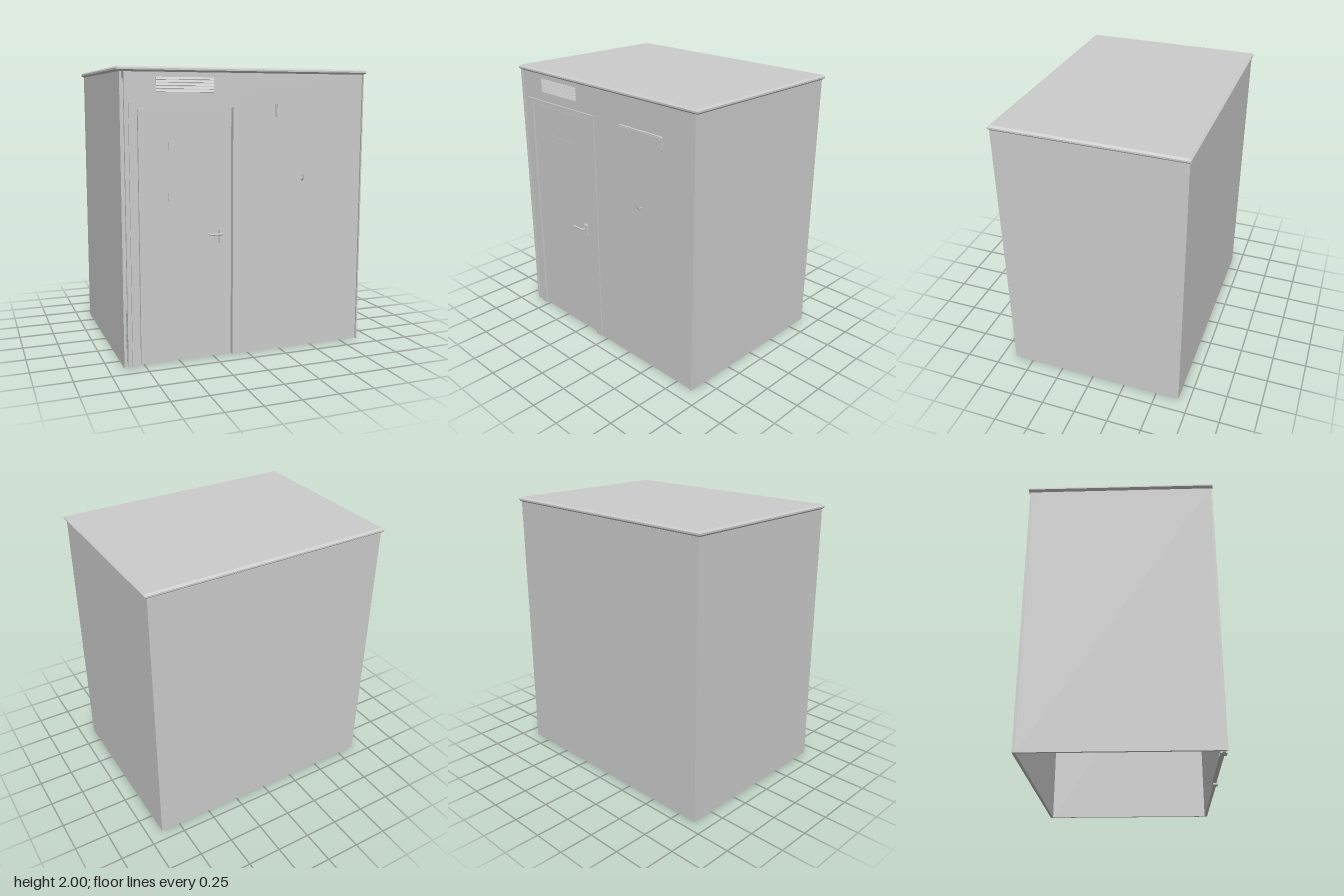
import * as THREE from 'three';

export function createModel() {
  const model = new THREE.Group();
  model.name = 'cabin';
  const grey = new THREE.MeshStandardMaterial({ color: 0xcccccc });
  grey.name = 'light grey';

  const add = (name, geometry, parent = model) => {
    const mesh = new THREE.Mesh(geometry, grey);
    mesh.name = name;
    parent.add(mesh);
    return mesh;
  };
  // Box given by its limits on each axis
  const box = (name, x0, x1, y0, y1, z0, z1, parent) => {
    const mesh = add(name, new THREE.BoxGeometry(x1 - x0, y1 - y0, z1 - z0), parent);
    mesh.position.set((x0 + x1) / 2, (y0 + y1) / 2, (z0 + z1) / 2);
    return mesh;
  };
  // Upright plate with rounded corners, z1 is its front
  const roundedPlate = (name, x0, x1, y0, y1, z0, z1, r, parent) => {
    const s = new THREE.Shape();
    s.moveTo(x0 + r, y0);
    s.lineTo(x1 - r, y0).quadraticCurveTo(x1, y0, x1, y0 + r);
    s.lineTo(x1, y1 - r).quadraticCurveTo(x1, y1, x1 - r, y1);
    s.lineTo(x0 + r, y1).quadraticCurveTo(x0, y1, x0, y1 - r);
    s.lineTo(x0, y0 + r).quadraticCurveTo(x0, y0, x0 + r, y0);
    const mesh = add(name, new THREE.ExtrudeGeometry(s, {
      depth: z1 - z0, bevelEnabled: false, curveSegments: 4 }), parent);
    mesh.position.z = z0;
    return mesh;
  };

  // Hollow shell, open underneath
  const top = 1.965;
  box('backWall', -0.893, 0.893, 0, top, -0.67, -0.65);
  for (const side of [-1, 1]) {
    const name = side < 0 ? 'right' : 'left';
    const a = side * 0.873, b = side * 0.893;
    box(name + 'Wall', Math.min(a, b), Math.max(a, b), 0, top, -0.65, 0.63);
    const c = side * 0.884;
    box(name + 'CornerTrim', Math.min(c, b), Math.max(c, b), 0, top, 0.63, 0.643);
  }

  // Front wall cut around the doorway
  const wall = new THREE.Shape();
  wall.moveTo(-0.862, 0);
  wall.lineTo(-0.82, 0).lineTo(-0.82, 1.75).lineTo(-0.08, 1.75).lineTo(-0.08, 0);
  wall.lineTo(0.877, 0).lineTo(0.877, top).lineTo(-0.862, top);
  add('frontWall', new THREE.ExtrudeGeometry(wall, { depth: 0.02, bevelEnabled: false }))
    .position.z = 0.612;

  // Door frame
  const frame = new THREE.Shape();
  frame.moveTo(-0.835, 0);
  frame.lineTo(-0.78, 0).lineTo(-0.78, 1.735).lineTo(-0.115, 1.735).lineTo(-0.115, 0);
  frame.lineTo(-0.06, 0).lineTo(-0.06, 1.768).lineTo(-0.835, 1.768);
  add('doorFrame', new THREE.ExtrudeGeometry(frame, { depth: 0.043, bevelEnabled: false }))
    .position.z = 0.6;

  // Door leaf, stop strip behind its gap, and window pane
  const door = new THREE.Group();
  door.name = 'door';
  model.add(door);
  box('doorLeaf', -0.772, -0.13, 0.008, 1.728, 0.605, 0.63, door);
  box('doorBack', -0.78, -0.115, 0, 1.735, 0.598, 0.605, door);
  box('doorWindow', -0.57, -0.33, 1.105, 1.515, 0.63, 0.632, door);

  // Door handle: plate, spindle and lever
  roundedPlate('handlePlate', -0.217, -0.18, 0.812, 0.91, 0.63, 0.648, 0.006, door);
  const lever = new THREE.CatmullRomCurve3([
    new THREE.Vector3(-0.2, 0.877, 0.64), new THREE.Vector3(-0.2, 0.877, 0.664),
    new THREE.Vector3(-0.208, 0.877, 0.673), new THREE.Vector3(-0.297, 0.877, 0.673),
  ], false, 'catmullrom', 0.1);
  add('handleLever', new THREE.TubeGeometry(lever, 24, 0.007, 8), door);
  const cap = add('leverEnd', new THREE.CylinderGeometry(0.007, 0.007, 0.004, 8), door);
  cap.rotation.z = Math.PI / 2;
  cap.position.set(-0.297, 0.877, 0.673);

  // Ventilation grille: sloping slats above the door
  const vent = new THREE.Group();
  vent.name = 'ventGrille';
  model.add(vent);
  for (let i = 0; i < 5; i++) {
    const slat = new THREE.Shape();
    slat.moveTo(0, 0);
    slat.lineTo(0.008, 0.002).lineTo(0, 0.018);
    const mesh = add('ventSlat', new THREE.ExtrudeGeometry(slat, {
      depth: 0.4, bevelEnabled: false }), vent);
    mesh.rotation.y = -Math.PI / 2;
    mesh.scale.x = 1;
    mesh.position.set(-0.25, 1.835 + i * 0.02, 0.632);
  }

  // Sign panel: raised face on a rounded back
  roundedPlate('signPanel', 0.203, 0.608, 1.67, 1.767, 0.63, 0.648, 0.01);
  roundedPlate('signFace', 0.21, 0.601, 1.677, 1.76, 0.648, 0.652, 0.007);

  // Coat hook
  const hook = new THREE.CatmullRomCurve3([
    new THREE.Vector3(0.405, 1.226, 0.63), new THREE.Vector3(0.405, 1.226, 0.655),
    new THREE.Vector3(0.405, 1.24, 0.668), new THREE.Vector3(0.405, 1.275, 0.676),
  ]);
  add('hook', new THREE.TubeGeometry(hook, 16, 0.005, 8));

  // Roof slab with a chamfered rim
  const rw = 0.897, rd = 0.65, rim = 0.014;
  const roof = new THREE.Shape();
  roof.moveTo(-rw, -rd);
  roof.lineTo(rw, -rd).lineTo(rw, rd).lineTo(-rw, rd).closePath();
  const roofMesh = add('roof', new THREE.ExtrudeGeometry(roof, {
    depth: 0.011, bevelThickness: 0.012, bevelSize: rim, bevelSegments: 1 }));
  roofMesh.rotation.x = -Math.PI / 2;
  roofMesh.position.set(0, 1.977, -0.016);

  return model;
}
